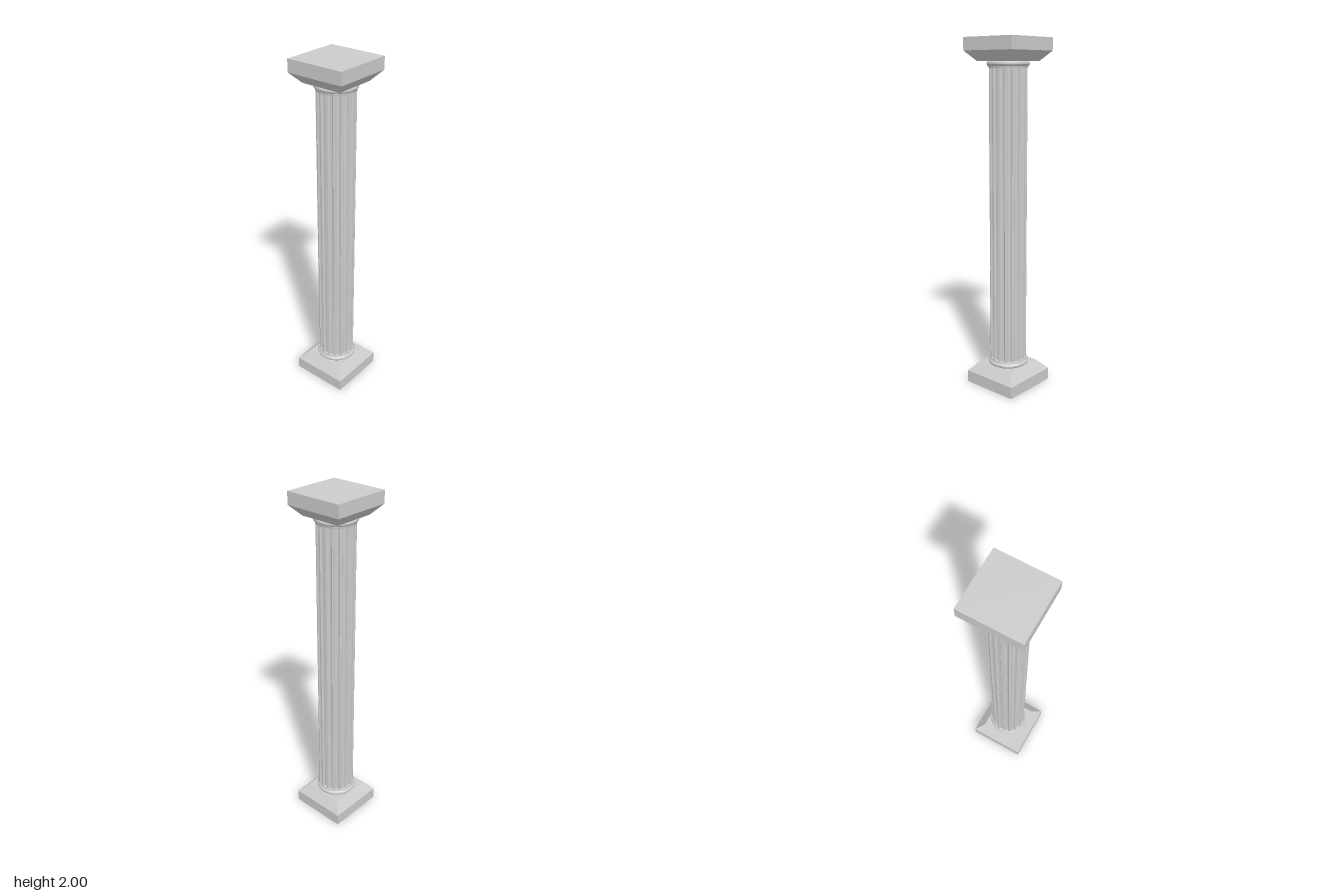
import * as THREE from 'three';
import { toCreasedNormals } from 'three/addons/utils/BufferGeometryUtils.js';

const HEIGHT = 2;
const HALF = 0.171;       // half width of the square blocks
const NECK = 0.12;        // half width where the block's slope ends
const SHAFT_R = 0.106;
const FLUTES = 16;

const material = new THREE.MeshStandardMaterial({ color: 0xcccccc });

function add(parent, name, geometry, y = 0) {
  const mesh = new THREE.Mesh(geometry, material);
  mesh.name = name;
  mesh.position.y = y;
  parent.add(mesh);
  return mesh;
}

// Square frustum with flat sides, given by its half widths
function squareFrustum(top, bottom, height) {
  const g = new THREE.CylinderGeometry(top * Math.SQRT2, bottom * Math.SQRT2, height, 4);
  g.rotateY(Math.PI / 4);
  return toCreasedNormals(g, 0.5);
}

// Circle cut by evenly spaced concave flutes, with narrow flat ridges between
function flutedShape() {
  const pitch = (Math.PI * 2) / FLUTES;
  const grooveShare = 0.72, depth = 0.013, steps = 8;
  const points = [];
  for (let i = 0; i < FLUTES; i++) {
    for (let j = 0; j <= steps; j++) {
      const t = (j / steps) * 2 - 1;
      const angle = i * pitch + (t * grooveShare * pitch) / 2;
      const r = SHAFT_R - depth * Math.sqrt(1 - t * t);
      points.push(new THREE.Vector2(Math.cos(angle) * r, Math.sin(angle) * r));
    }
  }
  return new THREE.Shape(points);
}

// Block, sloped shoulder and round moulding, built upwards from the floor
function endPiece(name) {
  const group = new THREE.Group();
  group.name = name;
  add(group, 'squareBlock', squareFrustum(HALF, HALF, 0.07), 0.035);
  add(group, 'slopedShoulder', squareFrustum(NECK, HALF, 0.055), 0.0975);

  const profile = [new THREE.Vector2(0, 0.12), new THREE.Vector2(0.104, 0.12)];
  for (let i = 0; i <= 10; i++) {
    const a = -Math.PI / 2 + (i / 10) * Math.PI;
    profile.push(new THREE.Vector2(0.104 + 0.014 * Math.cos(a), 0.138 + 0.014 * Math.sin(a)));
  }
  profile.push(new THREE.Vector2(0.109, 0.152), new THREE.Vector2(0.107, 0.162), new THREE.Vector2(0, 0.162));
  add(group, 'roundMoulding', toCreasedNormals(new THREE.LatheGeometry(profile, 48), 0.7));
  return group;
}

export function createModel() {
  const model = new THREE.Group();
  model.name = 'column';

  model.add(endPiece('base'));

  // The capital is the base turned upside down
  const capital = endPiece('capital');
  capital.rotation.x = Math.PI;
  capital.position.y = HEIGHT;
  model.add(capital);

  const shaft = new THREE.ExtrudeGeometry(flutedShape(), { depth: HEIGHT - 0.31, bevelEnabled: false });
  shaft.rotateX(-Math.PI / 2);
  add(model, 'flutedShaft', toCreasedNormals(shaft, 0.7), 0.155);

  return model;
}
